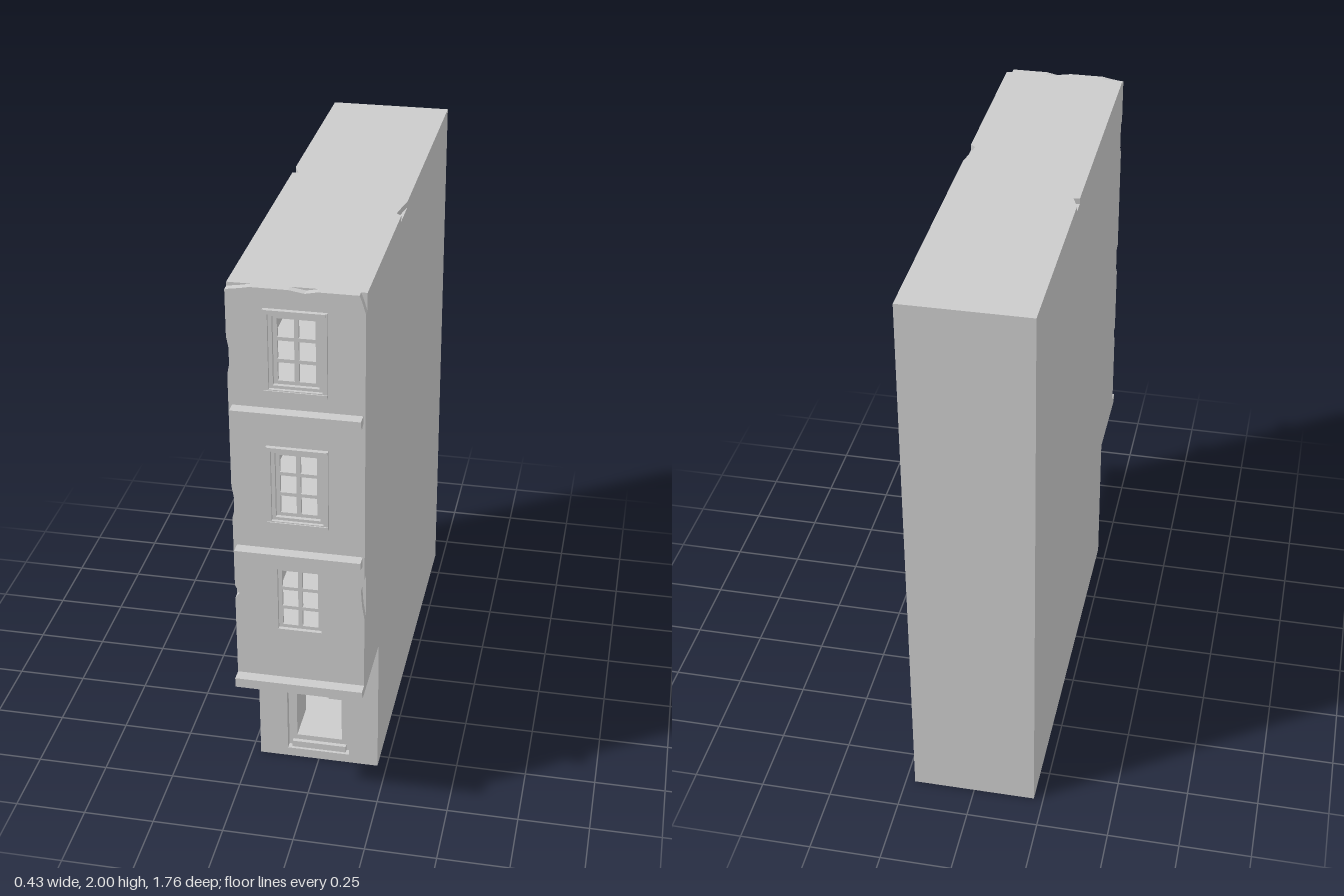
import * as THREE from 'three';

const mat = new THREE.MeshStandardMaterial({ color: 0xcccccc, flatShading: true });

function add(parent, name, geometry) {
  const mesh = new THREE.Mesh(geometry, mat);
  mesh.name = name;
  parent.add(mesh);
  return mesh;
}

// Box given by its limits on each axis
function block(parent, name, x0, x1, y0, y1, z0, z1) {
  const mesh = add(parent, name, new THREE.BoxGeometry(x1 - x0, y1 - y0, z1 - z0));
  mesh.position.set((x0 + x1) / 2, (y0 + y1) / 2, (z0 + z1) / 2);
  return mesh;
}

const outline = (points) => new THREE.Shape(points.map(([x, y]) => new THREE.Vector2(x, y)));
const rect = (x0, x1, y0, y1) => [[x0, y0], [x1, y0], [x1, y1], [x0, y1]];

// Flat panel with rectangular openings
function panel(points, holes, depth) {
  const shape = outline(points);
  for (const h of holes) shape.holes.push(outline(rect(...h).reverse()));
  return new THREE.ExtrudeGeometry(shape, { depth, bevelEnabled: false });
}

// Horizontal slab: outline in x and z, bottom at y
function slab(parent, name, points, holes, y, thickness) {
  const flipped = points.map(([x, z]) => [x, -z]);
  const flippedHoles = holes.map(([x0, x1, z0, z1]) => [x0, x1, -z1, -z0]);
  const mesh = add(parent, name, panel(flipped, flippedHoles, thickness).rotateX(-Math.PI / 2));
  mesh.position.y = y;
}

// Six-pane sash window set into the facade
function windowSash(y0, y1) {
  const g = new THREE.Group();
  g.name = 'window';
  const panes = [];
  const rows = 3, t = 0.012, h = (y1 - y0 - t) / rows;
  for (let r = 0; r < rows; r++) {
    const a = y0 + t + r * h, b = y0 + (r + 1) * h;
    panes.push([-0.06, -0.007, a, b], [0.007, 0.06, a, b]);
  }
  add(g, 'sash', panel(rect(-0.073, 0.073, y0, y1), panes, 0.012)).position.z = 0.815;
  return g;
}

// Raised moulding around a window
function windowSurround(y0, y1) {
  const g = new THREE.Group();
  g.name = 'windowSurround';
  add(g, 'moulding', panel(rect(-0.1, 0.1, y0, y1),
    [[-0.085, 0.085, y0 + 0.015, y1 - 0.015]], 0.012)).position.z = 0.839;
  block(g, 'windowSill', -0.1, 0.1, y0, y0 + 0.012, 0.84, 0.855);
  block(g, 'windowHead', -0.095, 0.095, y1 - 0.012, y1, 0.84, 0.855);
  return g;
}

export function createModel() {
  const house = new THREE.Group();
  house.name = 'townHouse';
  const W = 0.217, T = 0.025, back = -0.88, low = 0.555, high = 0.84;

  // Side walls, stepped under the overhanging storeys
  const profile = [[back, 0], [low - T, 0], [low - T, 0.535], [high - T, 0.535], [high - T, 1.98], [back, 1.98]];
  for (const s of [-1, 1]) {
    const geo = panel(profile.map(([z, y]) => [-z, y]), [], T).rotateY(Math.PI / 2);
    add(house, 'sideWall', geo).position.x = s < 0 ? -W : W - T;
  }
  block(house, 'backWall', -W + T, W - T, 0, 1.98, back, back + T);

  // Upper facade with chipped edges
  const sashes = [[0.765, 1.0], [1.2, 1.435], [1.675, 1.91]];
  const front = [
    [-W, 0.535], [W, 0.535], [W, 0.84], [W - 0.008, 0.89], [W - 0.012, 0.95], [W, 0.995],
    [W, 1.94], [W - 0.012, 1.98], [W - 0.02, 2], [0.07, 2], [0.03, 1.992], [-0.02, 2],
    [-0.14, 2], [-0.17, 1.994], [-W, 1.987], [-W, 1.83], [-W + 0.012, 1.76], [-W, 1.7],
    [-W, 1.3], [-W + 0.012, 1.23], [-W, 1.18], [-W, 0.92], [-W + 0.015, 0.89], [-W, 0.87],
  ];
  const openings = sashes.map(([a, b]) => [-0.073, 0.073, a, b]);
  add(house, 'upperFacade', panel(front, openings, T)).position.z = high - T;
  for (const [a, b] of sashes) house.add(windowSash(a, b));
  house.add(windowSurround(1.175, 1.46), windowSurround(1.65, 1.935));

  // String courses with a worn lower corner
  for (const [y, x0, x1] of [[0.535, -W, W], [1.045, -0.205, 0.21], [1.56, -0.205, 0.21]]) {
    const band = panel([[x0, y], [x1 - 0.07, y], [x1, y + 0.008], [x1, y + 0.035], [x0, y + 0.035]], [], 0.025);
    add(house, 'stringCourse', band).position.z = 0.855;
    block(house, 'stringCourseBack', x0, x1, y, y + 0.035, high - 0.005, 0.857);
  }

  // Ground floor front with stepped doorway
  add(house, 'groundFacade', panel(rect(-W, W, 0, 0.535), [[-0.115, 0.112, 0.035, 0.45]], T)).position.z = low - T;
  add(house, 'doorFrame', panel(rect(-0.125, 0.122, 0.02, 0.46), [[-0.085, 0.08, 0.08, 0.425]], 0.05))
    .position.z = low - T - 0.05;
  block(house, 'doorStep', -0.1, 0.097, 0.035, 0.06, low - T - 0.002, low - 0.01);
  for (const [x0, x1] of [[-0.125, -0.085], [0.08, 0.122]])
    block(house, 'doorReveal', x0, x1, 0.08, 0.425, 0.38, low - T - 0.05);

  // Floors, with stair wells, and the soffit of the overhang
  const inner = W - T;
  const floorPlan = (z) => rect(-inner, inner, back + T, z);
  slab(house, 'groundFloor', floorPlan(low - T - 0.05), [], 0.055, 0.025);
  for (const y of [0.535, 1.045, 1.56])
    slab(house, 'upperFloor', floorPlan(high - T), [[0.02, inner - 0.01, -0.3, 0.16]], y, 0.025);

  // Roof slab with chipped edges
  slab(house, 'roof', [
    [-W, back], [-W, -0.175], [-W + 0.02, -0.125], [-W, -0.12], [-W, high - T],
    [W, high - T], [W, 0.2], [W - 0.018, 0.18], [W - 0.012, 0.14], [W, 0.07], [W, back],
  ].reverse(), [], 1.98, 0.02);

  // Stairs and partition on each storey below the top
  const levels = [0.08, 0.56, 1.07, 1.585];
  const steps = 12;
  for (let i = 0; i < 3; i++) {
    const stair = new THREE.Group();
    stair.name = 'staircase';
    const rise = (levels[i + 1] - levels[i]) / steps, run = 0.05;
    for (let k = 0; k < steps; k++) {
      const top = levels[i] + (k + 1) * rise, z = 0.3 - k * run;
      block(stair, 'step', 0.02, inner, top - rise - (k ? 0.02 : 0), top, z - run, z);
    }
    house.add(stair);
    block(house, 'partition', -0.015, 0.02, levels[i], levels[i + 1] - 0.025, -0.3, 0.3);
  }
  return house;
}
